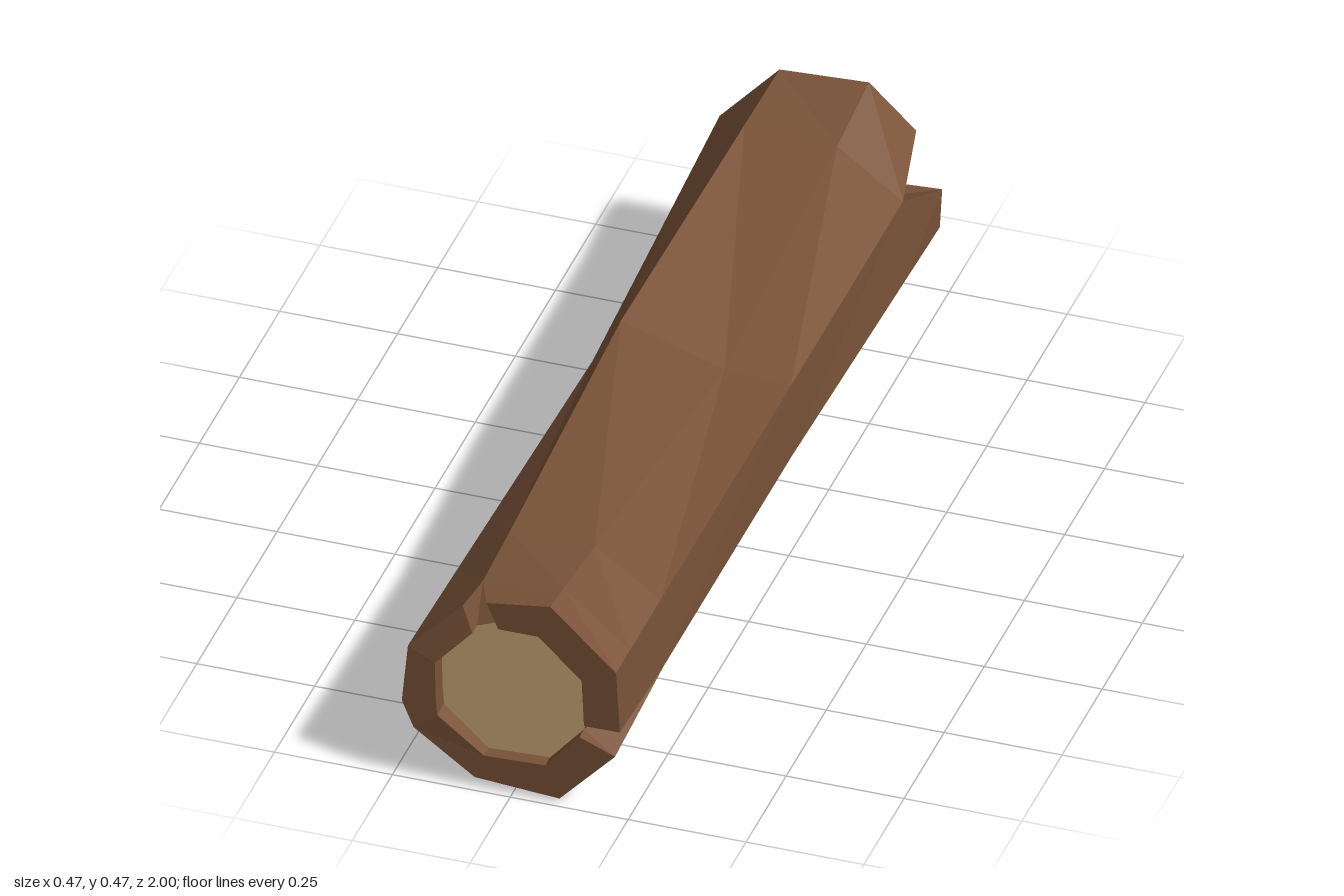
import * as THREE from 'three';

// Ridge points run counter-clockwise seen from +z, starting on the +x side.
const FRONT = [[0.228, 0.198], [0.22, 0.34], [0.08, 0.47], [-0.055, 0.45], [-0.105, 0.433], [-0.217, 0.32],
  [-0.23, 0.185], [-0.205, 0.125], [-0.08, 0.023], [0.1, 0.01], [0.218, 0.137]];
const FRONT_IN = [[0.152, 0.197], [0.147, 0.305], [0.055, 0.392], [-0.03, 0.392], [-0.085, 0.37], [-0.16, 0.29],
  [-0.158, 0.205], [-0.155, 0.165], [-0.06, 0.079], [0.07, 0.084], [0.142, 0.168]];
const MIDDLE = [[0.222, 0.25], [0.22, 0.34], [0.08, 0.35], [-0.14, 0.42], [-0.14, 0.42], [-0.2, 0.31],
  [-0.205, 0.2], [-0.2, 0.125], [-0.083, 0.015], [0.1, 0.01], [0.222, 0.17]];
const BACK = [[0.235, 0.245], [0.18, 0.375], [0.08, 0.47], [-0.11, 0.46], [-0.11, 0.46], [-0.237, 0.32],
  [-0.222, 0.2], [-0.2, 0.11], [-0.087, 0], [0.1, 0.01], [0.23, 0.152]];
const BACK_IN = [[0.155, 0.24], [0.13, 0.325], [0.06, 0.385], [-0.065, 0.375], [-0.065, 0.375], [-0.16, 0.29],
  [-0.158, 0.2], [-0.15, 0.16], [-0.06, 0.08], [0.07, 0.085], [0.15, 0.17]];
const N = FRONT.length;

const at = (pts, z) => pts.map(([x, y]) => [x, y, z]);

// Ring between two rings, with the two lips of a split joined at one point
function between(a, b, z, joined = [], point = null) {
  const t = (z - a[0][2]) / (b[0][2] - a[0][2]);
  return a.map((p, i) => joined.includes(i) && point
    ? [...point, z]
    : [p[0] + (b[i][0] - p[0]) * t, p[1] + (b[i][1] - p[1]) * t, z]);
}

// Collects triangles, skipping those with no area
function builder() {
  const pos = [];
  const tri = (a, b, c, flip = false) => {
    const [p, q, r] = (flip ? [a, c, b] : [a, b, c]).map(v => new THREE.Vector3(...v));
    const area = q.clone().sub(p).cross(r.clone().sub(p)).length();
    if (area > 1e-8) pos.push(...p, ...q, ...r);
  };
  const quad = (a, b, c, d, flip) => { tri(a, b, c, flip); tri(a, c, d, flip); };
  const mesh = (name, material) => {
    const g = new THREE.BufferGeometry();
    g.setAttribute('position', new THREE.Float32BufferAttribute(pos, 3));
    g.computeVertexNormals();
    const m = new THREE.Mesh(g, material);
    m.name = name;
    return m;
  };
  return { tri, quad, mesh };
}

export function createModel() {
  const group = new THREE.Group();
  group.name = 'log';
  const bark = new THREE.MeshStandardMaterial({ color: 0x7a5338 });
  bark.name = 'bark brown';
  const wood = new THREE.MeshStandardMaterial({ color: 0xcfab78 });
  wood.name = 'cut wood tan';

  const front = at(FRONT, 0.987), middle = at(MIDDLE, -0.1), back = at(BACK, -1);
  const topApex = [-0.092, 0.44], sideApex = [0.228, 0.184], backApex = [0.22, 0.34];

  // Ring where the long side split closes, and the one where the top split closes
  const ringSide = between(front, middle, 0.71, [0, 10], sideApex);
  ringSide[3] = ringSide[4] = [-0.1, 0.436, 0.71];
  const ringTop = between(front, ringSide, 0.9, [3, 4], topApex);
  const ringBack = between(middle, back, -0.8, [0, 1], backApex);
  [5, 6, 7].forEach(i => { front[i][2] = 1; });
  const rings = [front, ringTop, ringSide, middle, ringBack, back];

  // Trunk sides, left open at the splits
  const trunk = builder();
  for (let k = 0; k < rings.length - 1; k++) {
    for (let i = 0; i < N; i++) {
      const j = (i + 1) % N;
      const open = (k === 0 && i === 3) || (k < 2 && i === 10) || (k === 4 && i === 0);
      if (!open) trunk.quad(rings[k][i], rings[k + 1][i], rings[k + 1][j], rings[k][j]);
    }
  }
  group.add(trunk.mesh('trunkBark', bark));

  // Each end: bark rim, shallow recess, split walls and the cut wood face
  function addEnd(name, outer, innerPts, depth, splits, flip) {
    const rim = builder(), face = builder();
    const inner = innerPts.map(([x, y], i) => [x, y, outer[i][2]]);
    const deepZ = outer[0][2] + (flip ? depth : -depth);
    const deep = at(innerPts, deepZ);
    const centre = [0, 0.235, deepZ];
    for (let i = 0; i < N; i++) {
      const j = (i + 1) % N;
      const apex = splits[i];
      if (apex) {
        rim.quad(outer[i], apex, deep[i], inner[i], flip);
        rim.quad(outer[j], inner[j], deep[j], apex, flip);
        rim.tri(deep[i], apex, deep[j], flip);
      } else {
        rim.quad(outer[i], outer[j], inner[j], inner[i], flip);
        rim.quad(inner[i], inner[j], deep[j], deep[i], flip);
      }
      face.tri(centre, deep[i], deep[j], flip);
    }
    group.add(rim.mesh(name + 'Rim', bark), face.mesh(name + 'CutFace', wood));
  }
  addEnd('front', front, FRONT_IN, 0.03, { 3: ringTop[3], 10: ringSide[0] }, false);
  addEnd('back', back, BACK_IN, 0.04, { 0: ringBack[0] }, true);

  return group;
}
